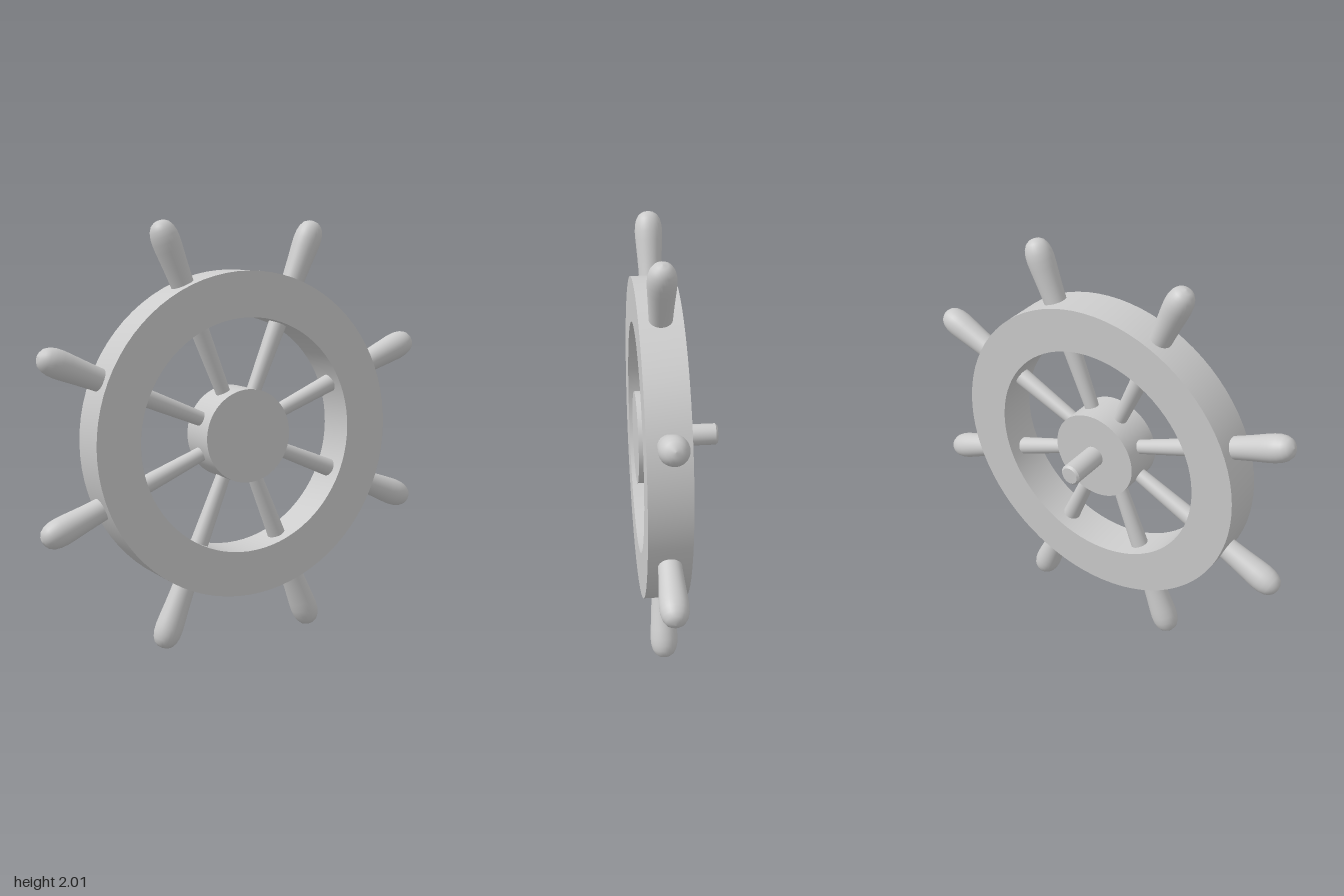
import * as THREE from 'three';
import { toCreasedNormals } from 'three/addons/utils/BufferGeometryUtils.js';

const material = new THREE.MeshStandardMaterial({ color: 0xcccccc });
const THICKNESS = 0.2;

function addMesh(parent, name, geometry) {
  const mesh = new THREE.Mesh(geometry, material);
  mesh.name = name;
  parent.add(mesh);
  return mesh;
}

// Smooth body of revolution from [radius, height] pairs, bottom to top
function lathe(points, segments = 32) {
  return new THREE.LatheGeometry(points.map(([r, h]) => new THREE.Vector2(r, h)), segments);
}

export function createModel() {
  const group = new THREE.Group();
  group.name = 'shipWheel';

  // Everything turns about the hub, one unit above the ground
  const wheel = new THREE.Group();
  wheel.name = 'wheel';
  wheel.position.y = 1;
  group.add(wheel);

  // Flat ring rim
  const ring = new THREE.Shape().absarc(0, 0, 0.772, 0, Math.PI * 2, false);
  ring.holes.push(new THREE.Path().absarc(0, 0, 0.557, 0, Math.PI * 2, true));
  const rim = new THREE.ExtrudeGeometry(ring, { depth: THICKNESS, bevelEnabled: false, curveSegments: 40 });
  addMesh(wheel, 'rim', toCreasedNormals(rim, 0.6));

  // Hub disc
  const hub = new THREE.CylinderGeometry(0.222, 0.222, THICKNESS, 64).rotateX(Math.PI / 2);
  addMesh(wheel, 'hub', hub).position.z = THICKNESS / 2;

  // Axle behind the hub, with a small chamfer at its end
  const axle = lathe([[0.052, -0.02], [0.052, 0.187], [0.042, 0.197], [0, 0.198]]);
  addMesh(wheel, 'axle', toCreasedNormals(axle.rotateX(-Math.PI / 2), 0.6));

  // Tapered spoke and swelling, round-ended handle, both along +y
  const spokeGeometry = new THREE.CylinderGeometry(0.044, 0.034, 0.38, 32, 1, true).translate(0, 0.39, 0);
  const handleGeometry = lathe([
    [0.053, 0.74], [0.055, 0.8], [0.059, 0.87], [0.064, 0.94], [0.066, 0.98],
    [0.064, 1.012], [0.057, 1.04], [0.044, 1.062], [0.025, 1.075], [0, 1.08],
  ]);

  for (let i = 0; i < 8; i++) {
    const arm = new THREE.Group();
    arm.name = `arm${i + 1}`;
    arm.position.z = THICKNESS / 2;
    arm.rotation.z = (i + 0.5) * Math.PI / 4;
    addMesh(arm, 'spoke', spokeGeometry);
    addMesh(arm, 'handle', handleGeometry);
    wheel.add(arm);
  }

  return group;
}
